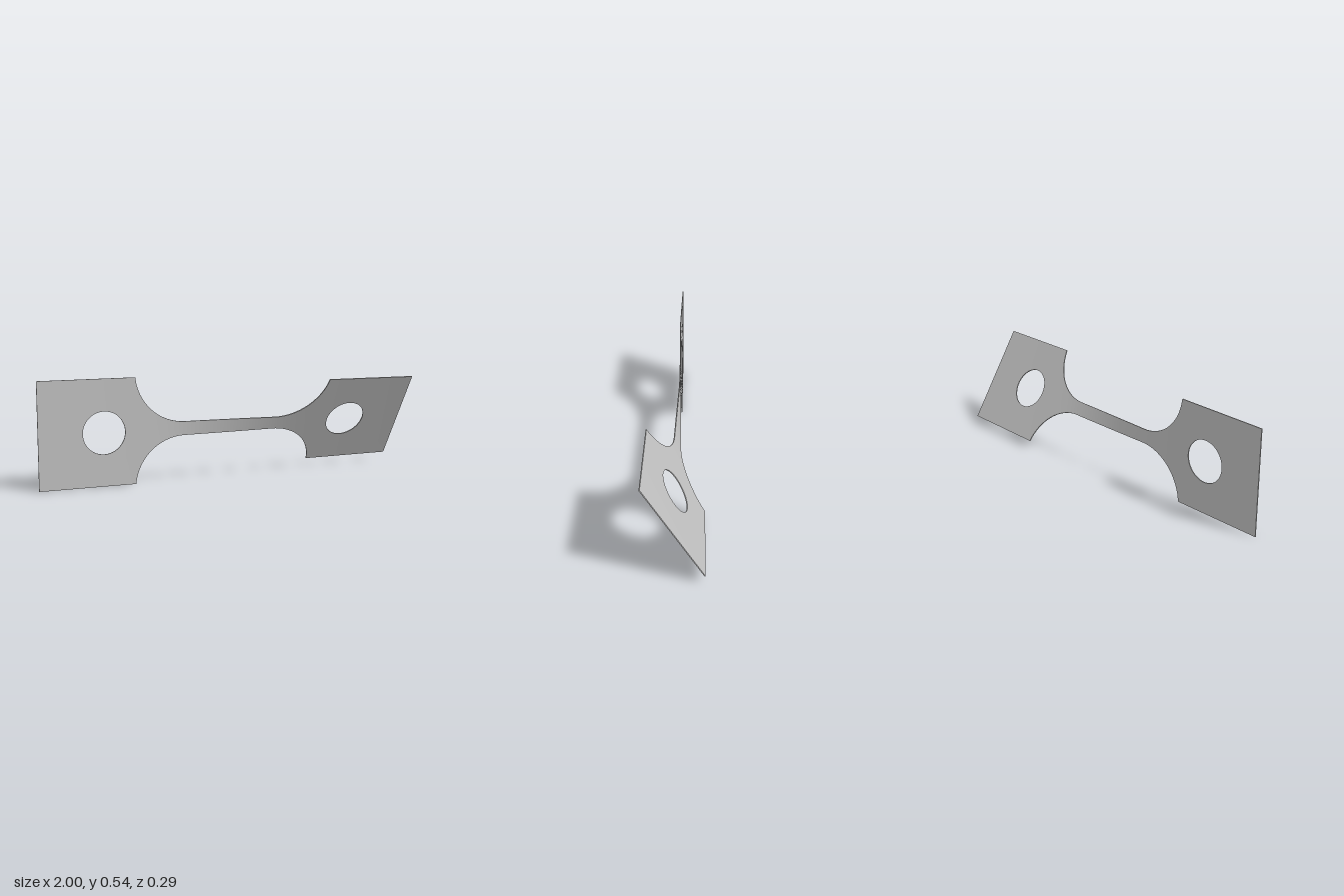
import * as THREE from 'three';
import { toCreasedNormals } from 'three/addons/utils/BufferGeometryUtils.js';

const HALF_TAB = 0.271, HALF_NECK = 0.036, THICK = 0.0025;
const FILLET = 0.26, NECK_END = 0.249, TAB_START = 0.508;
const HOLE_X = 0.67, HOLE_R = 0.108;
const TWIST = THREE.MathUtils.degToRad(31.9);

// Half height of the outline at x
function outer(x) {
  const d = Math.abs(x);
  if (d >= TAB_START - 1e-6) return HALF_TAB;
  if (d <= NECK_END) return HALF_NECK;
  return HALF_NECK + FILLET - Math.sqrt(FILLET ** 2 - (d - NECK_END) ** 2);
}

// Half height of the bolt hole at x
function inner(x) {
  const d = Math.abs(x) - HOLE_X;
  return Math.abs(d) < HOLE_R - 1e-6 ? Math.sqrt(HOLE_R ** 2 - d * d) : 0;
}

// Column positions: dense on the fillets and holes
function columns() {
  const half = [TAB_START, 0.53, 0.82, 0.88, 0.94, 1];
  for (let i = 1; i <= 10; i++) half.push(NECK_END * i / 10);
  const end = Math.asin((TAB_START - NECK_END) / FILLET);
  for (let i = 1; i < 24; i++) half.push(NECK_END + FILLET * Math.sin(end * i / 24));
  for (let i = 0; i <= 32; i++) half.push(HOLE_X + HOLE_R * Math.cos(Math.PI * i / 32));
  return [...half.map((x) => -x), 0, ...half].sort((a, b) => a - b);
}

// The narrow neck takes most of the twist, the wide tabs hardly any
function twistAngles(xs) {
  const rate = (x) => outer(x) ** -1.5;
  const sum = [0];
  for (let i = 1; i < xs.length; i++) {
    sum.push(sum[i - 1] + (xs[i] - xs[i - 1]) * (rate(xs[i]) + rate(xs[i - 1])) / 2);
  }
  return sum.map((s) => TWIST * s / sum[sum.length - 1]);
}

function twistedPlate() {
  const xs = columns(), angles = twistAngles(xs), pos = [];
  const quad = (a, b, c, d) => pos.push(...a, ...b, ...c, ...a, ...c, ...d);

  // Upper half, then the lower half turned half round the long axis
  for (const side of [1, -1]) {
    const sections = xs.map((x, i) => {
      const c = Math.cos(angles[i]) * side, s = Math.sin(angles[i]) * side;
      const lo = inner(x), hi = outer(x);
      return [[lo, THICK], [hi, THICK], [hi, -THICK], [lo, -THICK]]
        .map(([y, z]) => [x, y * c - z * s, y * s + z * c]);
    });
    for (let i = 0; i < xs.length - 1; i++) {
      const A = sections[i], B = sections[i + 1];
      const walls = inner(xs[i]) + inner(xs[i + 1]) > 0 ? 4 : 3; // fourth wall lines the hole
      for (let k = 0; k < walls; k++) {
        const n = (k + 1) % 4;
        quad(A[k], B[k], B[n], A[n]);
      }
    }
    // End caps
    const first = sections[0], last = sections[sections.length - 1];
    quad(first[0], first[1], first[2], first[3]);
    quad(last[0], last[3], last[2], last[1]);
  }

  const geometry = new THREE.BufferGeometry();
  geometry.setAttribute('position', new THREE.Float32BufferAttribute(pos, 3));
  return toCreasedNormals(geometry, Math.PI / 6);
}

export function createModel() {
  const steel = new THREE.MeshStandardMaterial({ color: 0xbfbfbf });
  steel.name = 'steel grey';

  const plate = new THREE.Mesh(twistedPlate(), steel);
  plate.name = 'twistedTestStrip';
  plate.position.y = HALF_TAB;

  const model = new THREE.Group();
  model.name = 'twistedSpecimen';
  model.add(plate);
  return model;
}
